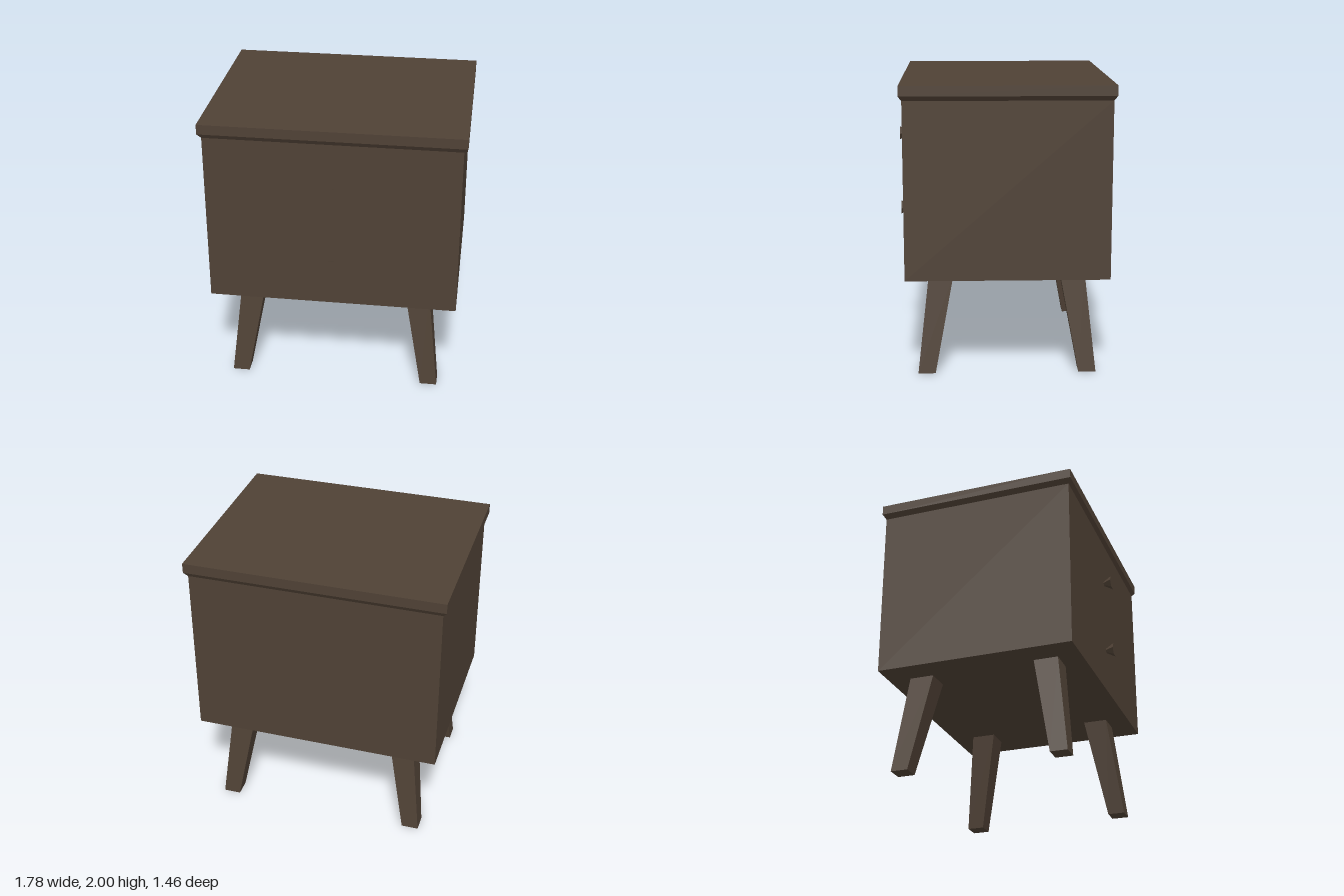
import * as THREE from 'three';

const wood = new THREE.MeshStandardMaterial({ color: 0x4f4135, flatShading: true });
wood.name = 'darkWood';

// Box whose lower and upper faces are separate rectangles: {x, z, w, d} at heights y0 and y1
function taperedBox(name, y0, lower, y1, upper) {
  const g = new THREE.BoxGeometry(1, 1, 1);
  const p = g.attributes.position;
  for (let i = 0; i < p.count; i++) {
    const top = p.getY(i) > 0;
    const r = top ? upper : lower;
    p.setXYZ(i, r.x + p.getX(i) * r.w, top ? y1 : y0, r.z + p.getZ(i) * r.d);
  }
  g.computeVertexNormals();
  const mesh = new THREE.Mesh(g, wood);
  mesh.name = name;
  return mesh;
}

export function createModel() {
  const model = new THREE.Group();
  model.name = 'nightstand';

  const zc = -0.019; // cabinet sits slightly back so the knobs fit in the depth
  const body = { x: 0, z: zc, w: 1.724, d: 1.38 };
  const lip = { x: 0, z: zc, w: 1.776, d: 1.422 };

  // Cabinet and top with a chamfered underside
  model.add(taperedBox('cabinet', 0.693, body, 1.9, body));
  model.add(taperedBox('topChamfer', 1.9, body, 1.932, lip));
  model.add(taperedBox('topBoard', 1.932, lip, 2, lip));

  // Splayed, tapered legs
  for (const sx of [-1, 1]) {
    for (const sz of [-1, 1]) {
      const foot = { x: sx * 0.689, z: zc + sz * 0.553, w: 0.119, d: 0.119 };
      const hip = { x: sx * 0.587, z: zc + sz * 0.449, w: 0.17, d: 0.17 };
      const name = (sz > 0 ? 'front' : 'back') + (sx > 0 ? 'Left' : 'Right') + 'Leg';
      model.add(taperedBox(name, 0, foot, 0.693, hip));
    }
  }

  // Flared six-sided drawer knobs
  const knobGeometry = new THREE.CylinderGeometry(0.05, 0.016, 0.06, 6);
  knobGeometry.rotateY(Math.PI / 2).rotateX(Math.PI / 2);
  [['upperKnob', 1.563], ['lowerKnob', 1.013]].forEach(([name, y]) => {
    const knob = new THREE.Mesh(knobGeometry, wood);
    knob.name = name;
    knob.position.set(0, y, 0.7);
    model.add(knob);
  });

  return model;
}
